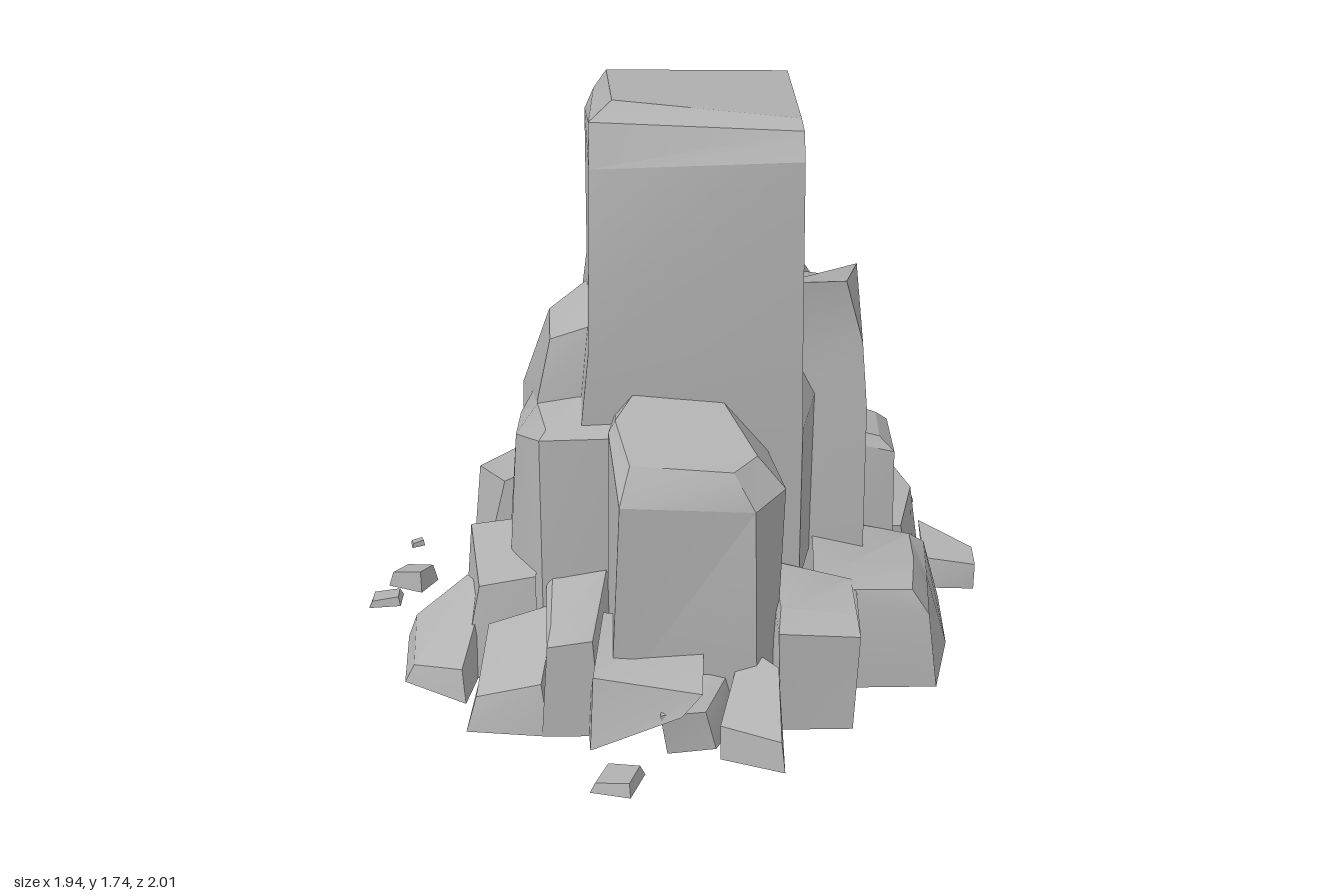
import * as THREE from 'three';
import { toCreasedNormals } from 'three/addons/utils/BufferGeometryUtils.js';

const stone = new THREE.MeshStandardMaterial({ color: 0xb2b2b2, side: THREE.DoubleSide });
stone.name = 'grey stone';

// One cross-section: y is one height or a height per corner; xz lists the corners
// anticlockwise from above, starting at the front left (x, z, x, z, ...).
function ring(y, ...xz) {
  const points = [];
  for (let i = 0; i < xz.length / 2; i++) {
    points.push([xz[2 * i], Array.isArray(y) ? y[i] : y, xz[2 * i + 1]]);
  }
  return points;
}

// True for a wall that looks straight at the middle of the formation, where it is buried.
function facesMiddle(a, b) {
  const mx = a[0] + b[0], mz = a[2] + b[2];
  const nx = a[2] - b[2], nz = b[0] - a[0];
  return nx * mx + nz * mz < -0.7 * Math.hypot(nx, nz) * Math.hypot(mx, mz);
}

// Hollow rock lofted through cross-sections, open below and capped on top.
function rock(name, ...rings) {
  const pos = [];
  const tri = (a, b, c) => pos.push(...a, ...b, ...c);
  const n = rings[0].length;
  for (let k = 0; k < rings.length - 1; k++) {
    const low = rings[k], high = rings[k + 1];
    for (let i = 0; i < n; i++) {
      const j = (i + 1) % n;
      if (facesMiddle(rings[0][i], rings[0][j])) continue;
      tri(low[i], low[j], high[j]);
      tri(low[i], high[j], high[i]);
    }
  }
  const top = rings[rings.length - 1];
  for (let i = 1; i < n - 1; i++) tri(top[0], top[i], top[i + 1]);
  const geo = new THREE.BufferGeometry();
  geo.setAttribute('position', new THREE.Float32BufferAttribute(pos, 3));
  const mesh = new THREE.Mesh(toCreasedNormals(geo, 0.45), stone);
  mesh.name = name;
  return mesh;
}

// Small tilted stone lying on the ground.
function pebble(x, z, w, h, d, turn) {
  const mesh = rock('pebble',
    ring(0, -w, d, w * 0.8, d, w, -d * 0.8, -w * 0.7, -d),
    ring([h * 0.7, h, h * 0.8, h * 0.5], -w * 0.8, d * 0.85, w * 0.7, d * 0.8, w * 0.8, -d * 0.7, -w * 0.65, -d * 0.8));
  mesh.position.set(x, 0, z);
  mesh.rotation.y = turn;
  return mesh;
}

export function createModel() {
  const model = new THREE.Group();
  model.name = 'rockFormation';

  // Tall central pillar with chamfered crown
  model.add(rock('mainPillar',
    ring(0.3, -0.31, 0.35, 0.36, 0.36, 0.55, -0.47, -0.32, -0.46),
    ring(0.8, -0.28, 0.34, 0.36, 0.35, 0.54, -0.45, -0.3, -0.46),
    ring(1.04, -0.255, 0.33, 0.355, 0.345, 0.39, -0.39, -0.27, -0.43),
    ring([1.58, 1.61, 1.46, 1.49], -0.245, 0.28, 0.35, 0.315, 0.365, -0.42, -0.27, -0.49),
    ring([1.7, 1.68, 1.56, 1.58], -0.245, 0.23, 0.35, 0.26, 0.355, -0.39, -0.24, -0.42),
    ring([1.74, 1.7, 1.65, 1.66], -0.18, 0.16, 0.345, 0.21, 0.345, -0.36, -0.2, -0.35)));

  // Large slabs leaning on the pillar
  model.add(rock('frontSlab',
    ring(0.1, -0.2, 0.7, 0.22, 0.69, 0.28, 0.56, 0.27, 0.3, -0.2, 0.3, -0.21, 0.45),
    ring([0.73, 0.7, 0.72, 0.74, 0.84, 0.84], -0.17, 0.67, 0.21, 0.65, 0.3, 0.55, 0.25, 0.3, -0.18, 0.3, -0.2, 0.43),
    ring([0.82, 0.8, 0.81, 0.9, 0.92, 0.88], -0.14, 0.59, 0.15, 0.6, 0.22, 0.52, 0.12, 0.32, -0.12, 0.32, -0.18, 0.43)));
  model.add(rock('rightSlab',
    ring(0.22, 0.3, 0.18, 0.57, 0.17, 0.61, -0.3, 0.55, -0.45, 0.3, -0.45),
    ring(0.75, 0.3, 0.13, 0.57, 0.12, 0.59, -0.28, 0.55, -0.44, 0.3, -0.43),
    ring([1.0, 0.95, 0.92, 0.84, 0.9], 0.3, 0.08, 0.555, 0.08, 0.57, -0.28, 0.53, -0.42, 0.3, -0.41),
    ring([1.15, 1.15, 1.06, 0.97, 1.0], 0.3, 0.09, 0.5, 0.08, 0.565, -0.26, 0.5, -0.38, 0.3, -0.38)));
  model.add(rock('leftFrontSlab',
    ring(0.2, -0.4, 0.43, -0.17, 0.42, -0.17, 0.0, -0.52, -0.02, -0.51, 0.2),
    ring([0.79, 0.8, 0.8, 0.68, 0.72], -0.4, 0.38, -0.18, 0.39, -0.2, 0, -0.47, -0.02, -0.475, 0.2),
    ring([0.81, 0.82, 0.86, 0.82, 0.81], -0.38, 0.35, -0.19, 0.36, -0.2, 0.02, -0.4, 0, -0.41, 0.18)));
  // Its back slopes down as one broad facet
  model.add(rock('leftShoulder',
    ring(0.08, -0.48, 0.2, -0.2, 0.22, -0.22, -0.5, -0.5, -0.42),
    ring([0.82, 0.82, 0.58, 0.6], -0.41, 0.18, -0.2, 0.2, -0.29, -0.47, -0.48, -0.4),
    ring([1.0, 1.06, 1.07, 0.98], -0.37, 0.14, -0.22, 0.16, -0.26, -0.14, -0.38, -0.12)));
  model.add(rock('rightStep',
    ring(0.15, 0.45, 0.04, 0.68, 0.03, 0.7, -0.27, 0.45, -0.3),
    ring([0.58, 0.54, 0.52, 0.54], 0.5, 0.0, 0.675, 0.0, 0.68, -0.26, 0.5, -0.28),
    ring([0.62, 0.58, 0.56, 0.6], 0.5, -0.02, 0.63, -0.03, 0.64, -0.23, 0.5, -0.25)));

  // Rocks stacked against the back
  model.add(rock('backRightStep',
    ring(0.1, 0.35, -0.3, 0.66, -0.3, 0.66, -0.5, 0.5, -0.6, 0.3, -0.6),
    ring([0.55, 0.45, 0.42, 0.48, 0.5], 0.35, -0.3, 0.64, -0.3, 0.62, -0.47, 0.52, -0.54, 0.3, -0.55),
    ring([0.66, 0.52, 0.5, 0.56, 0.55], 0.35, -0.3, 0.56, -0.3, 0.57, -0.42, 0.48, -0.5, 0.3, -0.5)));
  model.add(rock('backStep',
    ring(0.1, -0.15, -0.38, 0.22, -0.38, 0.24, -0.6, -0.13, -0.6),
    ring([0.62, 0.66, 0.58, 0.56], -0.15, -0.38, 0.21, -0.38, 0.22, -0.56, -0.12, -0.56),
    ring([0.66, 0.7, 0.66, 0.63], -0.13, -0.38, 0.18, -0.38, 0.17, -0.5, -0.1, -0.51)));
  model.add(rock('backSaddle',
    ring(0.1, 0.1, -0.38, 0.4, -0.38, 0.4, -0.63, 0.1, -0.62),
    ring([0.54, 0.52, 0.46, 0.46], 0.1, -0.4, 0.38, -0.4, 0.36, -0.57, 0.1, -0.57)));
  model.add(rock('backLeftStep',
    ring([0, 0.1, 0.2, 0], -0.42, -0.3, -0.05, -0.35, -0.09, -0.58, -0.42, -0.56),
    ring([0.58, 0.6, 0.53, 0.47], -0.38, -0.36, -0.08, -0.38, -0.1, -0.56, -0.38, -0.53)));
  model.add(rock('backMiddleBase',
    ring(0, 0.08, -0.45, 0.55, -0.45, 0.58, -0.66, 0.3, -0.75, 0.08, -0.72),
    ring([0.45, 0.42, 0.32, 0.36, 0.4], 0.1, -0.45, 0.54, -0.45, 0.55, -0.62, 0.33, -0.68, 0.12, -0.66)));
  model.add(rock('backBase',
    ring(0, -0.08, -0.55, 0.34, -0.55, 0.34, -0.8, 0.16, -0.84, -0.1, -0.72),
    ring([0.36, 0.36, 0.2, 0.2, 0.22], -0.05, -0.55, 0.32, -0.55, 0.32, -0.78, 0.17, -0.81, -0.07, -0.7)));

  // Ring of base blocks
  model.add(rock('rightFrontBase',
    ring(0, 0.4, 0.48, 0.77, 0.48, 0.83, 0.24, 0.84, -0.02, 0.4, -0.02),
    ring([0.33, 0.24, 0.24, 0.22, 0.28], 0.4, 0.46, 0.74, 0.46, 0.76, 0.24, 0.78, 0.0, 0.42, 0.02),
    ring([0.34, 0.31, 0.29, 0.26, 0.34], 0.4, 0.42, 0.69, 0.43, 0.72, 0.22, 0.73, 0.02, 0.42, 0.04)));
  model.add(rock('frontRightBase',
    ring(0, 0.29, 0.69, 0.5, 0.69, 0.53, 0.38, 0.25, 0.36),
    ring([0.32, 0.3, 0.32, 0.35], 0.28, 0.68, 0.515, 0.67, 0.525, 0.4, 0.27, 0.36),
    ring([0.36, 0.33, 0.33, 0.37], 0.29, 0.6, 0.51, 0.6, 0.51, 0.4, 0.28, 0.36)));
  model.add(rock('frontLeftBase',
    ring(0, -0.4, 0.71, -0.23, 0.71, -0.18, 0.4, -0.4, 0.36),
    ring([0.29, 0.31, 0.36, 0.34], -0.38, 0.69, -0.25, 0.69, -0.2, 0.4, -0.39, 0.36),
    ring([0.32, 0.33, 0.38, 0.36], -0.37, 0.62, -0.25, 0.62, -0.21, 0.4, -0.37, 0.38)));
  model.add(rock('leftFrontCornerBase',
    ring(0, -0.62, 0.68, -0.38, 0.71, -0.36, 0.42, -0.6, 0.44),
    ring([0.1, 0.16, 0.27, 0.22], -0.59, 0.65, -0.4, 0.68, -0.36, 0.42, -0.56, 0.45)));
  // Leaning front slabs leave a low gap between them
  model.add(rock('frontLeaningRock',
    ring([0.0, 0.13, 0.12, 0.0], -0.26, 0.78, 0.0, 0.81, 0.06, 0.6, -0.27, 0.6),
    ring([0.22, 0.2, 0.3, 0.35], -0.25, 0.74, 0.06, 0.8, 0.07, 0.6, -0.22, 0.6)));
  model.add(rock('frontMiddleRock',
    ring(0, -0.04, 0.8, 0.1, 0.78, 0.2, 0.58, 0.0, 0.58),
    ring([0.13, 0.12, 0.24, 0.25], -0.06, 0.8, 0.07, 0.77, 0.19, 0.6, -0.02, 0.6)));
  model.add(rock('frontFallenRock',
    ring(0, 0.11, 0.83, 0.29, 0.9, 0.29, 0.7, 0.16, 0.64),
    ring([0.1, 0.09, 0.22, 0.25], 0.11, 0.81, 0.28, 0.88, 0.28, 0.7, 0.18, 0.62)));
  model.add(rock('leftBase',
    ring(0, -0.65, 0.4, -0.42, 0.43, -0.4, 0.03, -0.66, 0.06),
    ring([0.3, 0.35, 0.36, 0.34], -0.59, 0.37, -0.42, 0.4, -0.4, 0.05, -0.63, 0.07)));
  model.add(rock('leftOuterRock',
    ring(0, -0.82, 0.42, -0.63, 0.54, -0.58, 0.3, -0.66, 0.16, -0.83, 0.17),
    ring([0.06, 0.1, 0.24, 0.22, 0.09], -0.79, 0.42, -0.64, 0.51, -0.58, 0.28, -0.64, 0.17, -0.8, 0.19)));
  model.add(rock('leftBackBase',
    ring(0, -0.62, -0.2, -0.4, -0.15, -0.28, -0.53, -0.57, -0.56, -0.66, -0.38),
    ring([0.34, 0.42, 0.4, 0.28, 0.3], -0.54, -0.2, -0.4, -0.18, -0.3, -0.5, -0.53, -0.53, -0.63, -0.38)));
  model.add(rock('leftBackRock',
    ring(0, -0.54, -0.5, -0.32, -0.5, -0.36, -0.66, -0.52, -0.72),
    ring([0.25, 0.25, 0.14, 0.12], -0.52, -0.5, -0.33, -0.52, -0.37, -0.65, -0.51, -0.7)));
  model.add(rock('rightBackBase',
    ring(0, 0.5, 0.02, 0.76, -0.03, 0.81, -0.3, 0.68, -0.48, 0.52, -0.5),
    ring([0.28, 0.26, 0.26, 0.34, 0.4], 0.5, 0.0, 0.71, -0.03, 0.77, -0.28, 0.66, -0.46, 0.52, -0.48)));
  model.add(rock('rightOuterRock',
    ring(0, 0.8, -0.08, 0.96, -0.07, 0.97, -0.18, 0.82, -0.28),
    ring([0.1, 0.09, 0.09, 0.14], 0.8, -0.1, 0.96, -0.07, 0.965, -0.18, 0.8, -0.27)));
  model.add(rock('backOuterRock',
    ring(0, -0.16, -0.77, -0.06, -0.75, -0.03, -0.89, -0.12, -0.92),
    ring([0.16, 0.17, 0.07, 0.07], -0.15, -0.78, -0.08, -0.77, -0.04, -0.88, -0.11, -0.91)));

  // Scattered pebbles: x, z, half width, height, half depth, turn
  const pebbles = [
    [-0.18, 0.93, 0.065, 0.04, 0.065, -0.25], [0.75, -0.62, 0.075, 0.06, 0.06, -0.3],
    [-0.84, -0.15, 0.065, 0.07, 0.05, -0.4], [-0.92, -0.04, 0.055, 0.03, 0.04, 0.1],
    [-0.19, -0.88, 0.035, 0.05, 0.035, 0.6], [-0.85, -0.39, 0.024, 0.02, 0.018, 0.4],
    [0.59, -0.81, 0.013, 0.02, 0.017, 0.3], [0.33, -0.99, 0.015, 0.015, 0.012, 0],
    [-0.63, 0.08, 0.03, 0.1, 0.02, 0.2],
  ];
  for (const p of pebbles) model.add(pebble(...p));
  return model;
}
